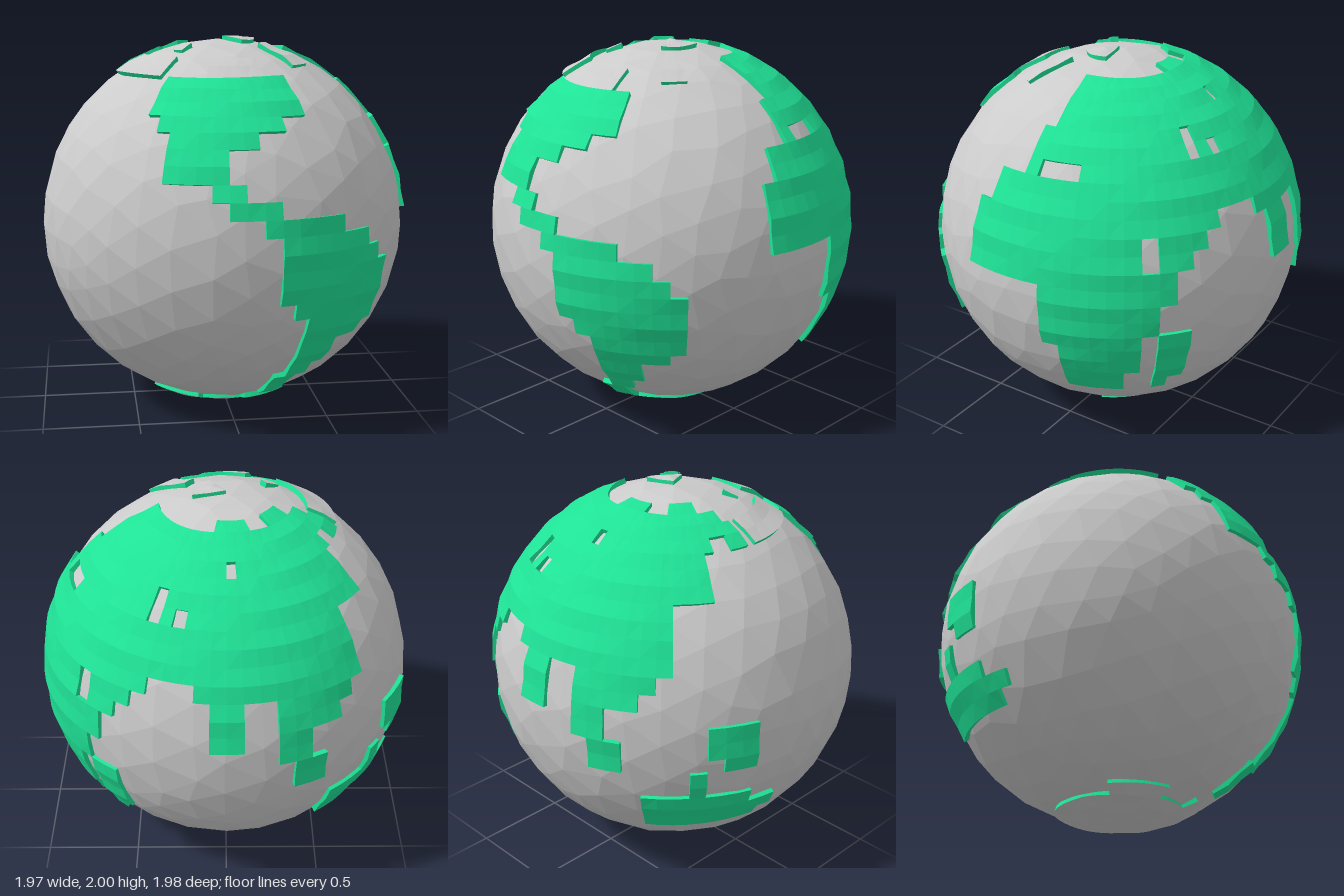
import * as THREE from 'three';

const STEP = 5;          // size of one land cell in degrees
const SEA = 0.98;        // sea radius
const LAND = 0.997;      // land radius
const WEST = -95;        // longitude where the cell grid starts
const COLS = 360 / STEP, ROWS = 180 / STEP;

// Coast outlines as [longitude, latitude]; longitude 0 faces the front
const CONTINENTS = {
  northWestLand: [[-35, 55], [-35, 45], [-30, 40], [-25, 30], [-25, 20], [-10, 20], [-10, 15], [-5, 15],
    [-5, 10], [5, 10], [5, 5], [10, 5], [10, 15], [0, 15], [0, 20], [-5, 20], [-5, 28], [7, 28], [7, 33],
    [15, 33], [15, 42], [23, 42], [25, 50], [25, 57], [10, 57], [-35, 57]],
  southWestLand: [[10, 10], [30, 10], [32, 5], [38, 5], [38, 0], [46, 0], [46, -7], [52, -7], [52, -12],
    [50, -20], [46, -26], [36, -32], [31, -40], [26, -45], [26, -58], [15, -60], [15, -50], [20, -42],
    [19, -25], [15, -15], [10, -10]],
  easternLand: [[75, 5], [100, 5], [100, -10], [104, -20], [107, -35], [121, -35], [126, -28], [132, -25],
    [132, -12], [135, 0], [141, 5], [143, 13], [150, 15], [157, 23], [165, 25], [175, 20], [177, 5], [187, 5],
    [187, 22], [197, 20], [197, 0], [200, 0], [200, -12], [211, -12], [211, 1], [205, 2], [205, 10],
    [214, 10], [214, 15], [220, 15], [220, 20], [226, 22], [226, 40], [238, 40], [238, 50], [235, 52],
    [245, 53], [247, 60], [265, 55], [265, 66], [237, 76], [206, 70], [180, 78], [160, 69], [132, 68],
    [95, 68], [95, 50], [88, 50], [88, 34], [81, 33], [81, 26], [75, 25]],
  easternIsland: [[135, -11], [144, -11], [144, -25], [140, -35], [134, -35]],
  southEastLand: [[214, -22], [228, -22], [228, -10], [235, -10], [236, -20], [247, -20], [250, -23],
    [258, -23], [258, -30], [252, -36], [214, -36]],
  tropicalIsland: [[235, 5], [250, 5], [250, -10], [240, -10], [240, -5], [235, -5]],
};
// Inland seas cut out of the land
const LAKES = [
  [[97, 33], [108, 33], [108, 42], [97, 42]],
  [[128, 14], [136, 10], [136, 19], [128, 21]],
  [[148, 40], [153, 40], [153, 50], [148, 50]],
  [[160, 40], [165, 40], [165, 45], [160, 45]],
  [[180, 55], [185, 55], [185, 60], [180, 60]],
];
// Polar ice, pale on top with green shores
const ICE = [
  [[-95, -90], [-95, -70], [-70, -70], [-70, -65], [-25, -65], [-25, -70], [10, -70], [10, -65], [45, -65],
    [45, -70], [110, -70], [110, -65], [140, -65], [140, -70], [265, -70], [265, -90]],
  [[-90, 57], [-40, 57], [-40, 65], [-90, 65]],
  [[-15, 57], [15, 57], [15, 67], [-15, 67]],
  [[40, 60], [55, 60], [55, 75], [40, 75]],
  [[-55, 68], [-45, 68], [-45, 75], [-55, 75]],
  [[30, 80], [100, 80], [100, 90], [30, 90]],
];

function inside([x, y], outline) {
  let hit = false;
  outline.forEach(([x1, y1], i) => {
    const [x2, y2] = outline[(i + 1) % outline.length];
    if ((y1 > y) !== (y2 > y) && x < x1 + ((y - y1) * (x2 - x1)) / (y2 - y1)) hit = !hit;
  });
  return hit;
}

// Decide which part each grid cell belongs to
function cellOwner(col, row) {
  const p = [WEST + (col + 0.5) * STEP, -90 + (row + 0.5) * STEP];
  if (ICE.some((o) => inside(p, o))) return 'iceCaps';
  if (LAKES.some((o) => inside(p, o))) return null;
  return Object.keys(CONTINENTS).find((name) => inside(p, CONTINENTS[name])) ?? null;
}

// Grid corner on the globe; land corners rise and fall a little
function corner(col, row, raised) {
  const c = (col + COLS) % COLS;
  const pole = row === 0 || row === ROWS;
  const bump = pole ? 0 : 0.005 * Math.sin(c * 12.9 + row * 78.2);
  const radius = raised ? LAND + bump : SEA - 0.015;
  const lon = THREE.MathUtils.degToRad(WEST + c * STEP);
  const lat = THREE.MathUtils.degToRad(-90 + row * STEP);
  return [radius * Math.cos(lat) * Math.sin(lon), radius * Math.sin(lat), radius * Math.cos(lat) * Math.cos(lon)];
}

function facetMesh(name, points, material) {
  const geometry = new THREE.BufferGeometry();
  geometry.setAttribute('position', new THREE.Float32BufferAttribute(points.flat(), 3));
  geometry.computeVertexNormals();
  const mesh = new THREE.Mesh(geometry, material);
  mesh.name = name;
  return mesh;
}

export function createModel() {
  const globe = new THREE.Group();
  globe.name = 'globe';
  const grey = new THREE.MeshStandardMaterial({ color: 0xcccccc, flatShading: true });
  const green = new THREE.MeshStandardMaterial({ color: 0x1fe296, flatShading: true });

  // Faceted sea with slightly uneven triangles
  const sea = new THREE.IcosahedronGeometry(1, 5);
  const pos = sea.attributes.position;
  const v = new THREE.Vector3();
  for (let i = 0; i < pos.count; i++) {
    v.fromBufferAttribute(pos, i);
    const { x, y, z } = v;
    v.x += 0.03 * Math.sin(23 * y + 31 * z);
    v.y += 0.03 * Math.sin(29 * z + 19 * x);
    v.z += 0.03 * Math.sin(27 * x + 37 * y);
    v.setLength(SEA);
    pos.setXYZ(i, v.x, v.y, v.z);
  }
  sea.computeVertexNormals();
  const ocean = new THREE.Mesh(sea, grey);
  ocean.name = 'ocean';
  globe.add(ocean);

  // Raised cells, with walls wherever a cell meets the sea
  const owner = Array.from({ length: ROWS }, (_, r) => Array.from({ length: COLS }, (_, c) => cellOwner(c, r)));
  const parts = { iceCaps: [], iceShores: [] };
  for (const name of Object.keys(CONTINENTS)) parts[name] = [];
  for (let r = 0; r < ROWS; r++) {
    for (let c = 0; c < COLS; c++) {
      const name = owner[r][c];
      if (!name) continue;
      const ring = [[c, r], [c + 1, r], [c + 1, r + 1], [c, r + 1]];
      const [a, b, d, e] = ring.map(([i, j]) => corner(i, j, true));
      if (r === 0) parts[name].push(a, d, e);
      else if (r === ROWS - 1) parts[name].push(a, b, d);
      else if ((r + c) % 2) parts[name].push(a, b, d, a, d, e);
      else parts[name].push(a, b, e, b, d, e);

      const walls = parts[name === 'iceCaps' ? 'iceShores' : name];
      [[0, -1], [1, 0], [0, 1], [-1, 0]].forEach(([dc, dr], k) => {
        const nextRow = r + dr;
        if (nextRow < 0 || nextRow >= ROWS || owner[nextRow][(c + dc + COLS) % COLS]) return;
        const from = ring[k], to = ring[(k + 1) % 4];
        const low1 = corner(...from, false), low2 = corner(...to, false);
        const top1 = corner(...from, true), top2 = corner(...to, true);
        walls.push(low1, low2, top2, low1, top2, top1);
      });
    }
  }
  for (const [name, points] of Object.entries(parts)) {
    globe.add(facetMesh(name, points, name === 'iceCaps' ? grey : green));
  }

  globe.position.y = 1;
  const model = new THREE.Group();
  model.name = 'lowPolyGlobe';
  model.add(globe);
  return model;
}
